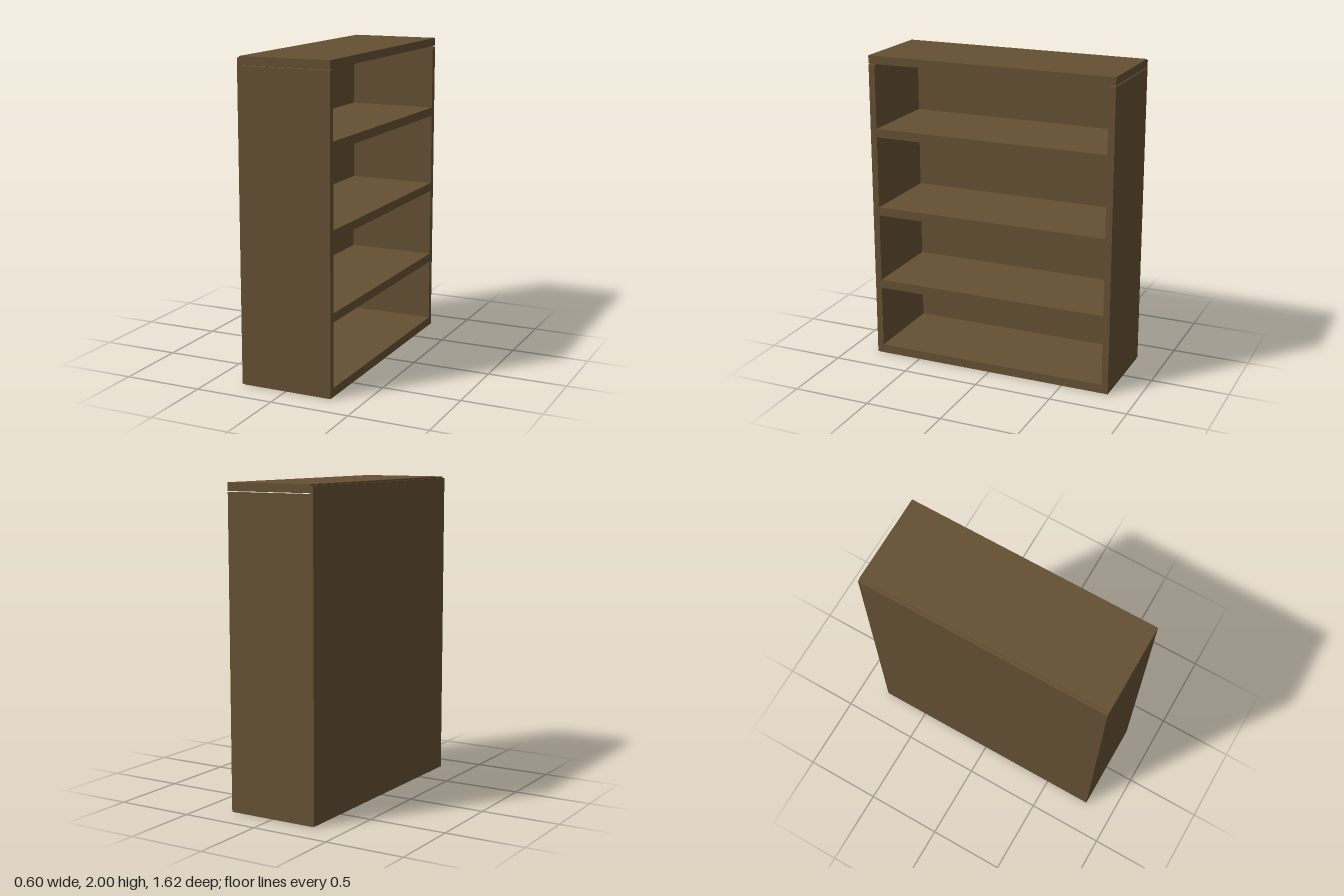
import * as THREE from 'three';

export function createModel() {
  const group = new THREE.Group();
  group.name = 'bookcase';
  const wood = new THREE.MeshStandardMaterial({ color: 0x655033 });

  // Board given by its min and max extents on each axis
  const board = (name, [x0, x1], [y0, y1], [z0, z1]) => {
    const mesh = new THREE.Mesh(new THREE.BoxGeometry(x1 - x0, y1 - y0, z1 - z0), wood);
    mesh.position.set((x0 + x1) / 2, (y0 + y1) / 2, (z0 + z1) / 2);
    mesh.name = name;
    group.add(mesh);
  };

  const depth = [-0.282, 0.298]; // open side faces +x
  const outer = 0.809, inner = 0.767;

  // Side walls, stopping just short of the top board
  board('frontSideWall', depth, [0, 1.943], [inner, outer]);
  board('backSideWall', depth, [0, 1.943], [-outer, -inner]);

  // Top board and thin rear panel
  board('topBoard', depth, [1.949, 2], [-outer, outer]);
  board('rearPanel', [-0.298, -0.282], [0.003, 1.99], [-outer, outer]);

  // Bottom board and three shelves
  [[0, 0.056], [0.461, 0.517], [0.96, 1.016], [1.479, 1.535]].forEach((y, i) =>
    board(i ? `shelf${i}` : 'bottomBoard', depth, y, [-inner, inner]));

  return group;
}
